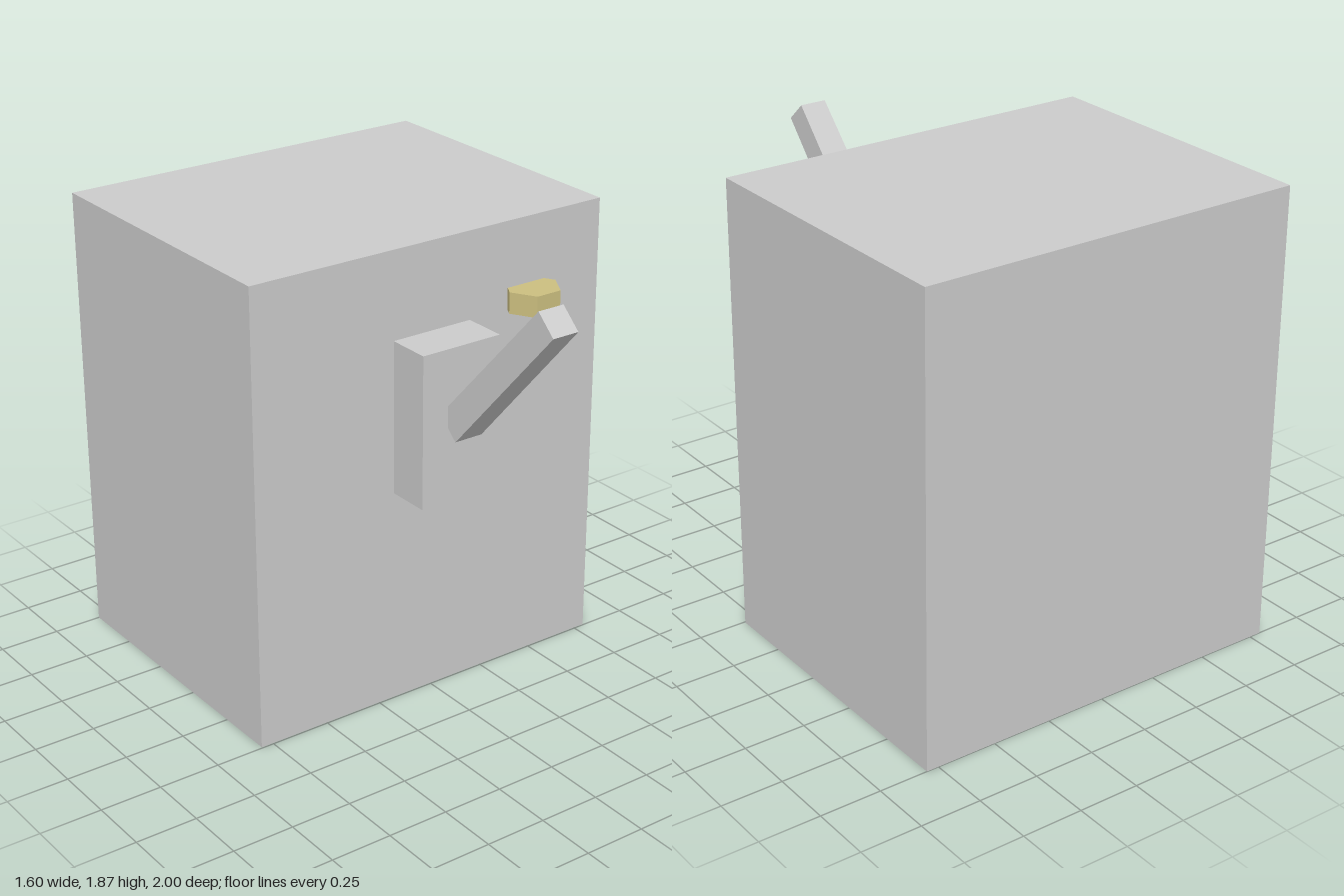
import * as THREE from 'three';

const grey = new THREE.MeshStandardMaterial({ color: 0xcccccc, flatShading: true, side: THREE.DoubleSide });
grey.name = 'light grey';
const gold = new THREE.MeshStandardMaterial({ color: 0xccbf80, flatShading: true });
gold.name = 'pale gold';

export function createModel() {
  const model = new THREE.Group();
  const add = (name, geometry, material, x, y, z) => {
    const mesh = new THREE.Mesh(geometry, material);
    mesh.name = name;
    mesh.position.set(x, y, z);
    model.add(mesh);
    return mesh;
  };

  // Hollow housing: a box without its bottom face
  const shell = new THREE.BoxGeometry(1.6, 1.87, 1.245);
  const index = Array.from(shell.index.array);
  index.splice(18, 6);
  shell.setIndex(index);
  shell.clearGroups();
  add('housing', shell, grey, 0, 0.935, -0.3775);

  // Raised plate that carries the lever
  add('leverPlate', new THREE.BoxGeometry(0.353, 0.62, 0.18), grey, -0.002, 1.205, 0.335);

  // Square lever, slightly tapered, leaning forwards from the plate
  const bottom = new THREE.Vector3(-0.002, 1.2, 0.426);
  const top = new THREE.Vector3(-0.002, 1.78, 0.957);
  const lean = top.clone().sub(bottom);
  const bar = new THREE.CylinderGeometry(0.056 * Math.SQRT2, 0.061 * Math.SQRT2, lean.length(), 4);
  bar.rotateY(Math.PI / 4);
  const mid = bottom.clone().add(top).multiplyScalar(0.5);
  const lever = add('lever', bar, grey, mid.x, mid.y, mid.z);
  lever.rotation.x = Math.atan2(lean.z, lean.y);

  // Six-sided knob, half sunk into the front wall
  const hex = new THREE.CylinderGeometry(0.112, 0.112, 0.086, 6);
  hex.rotateY(Math.PI / 6);
  add('hexKnob', hex, gold, 0.443, 1.559, 0.286);

  return model;
}
